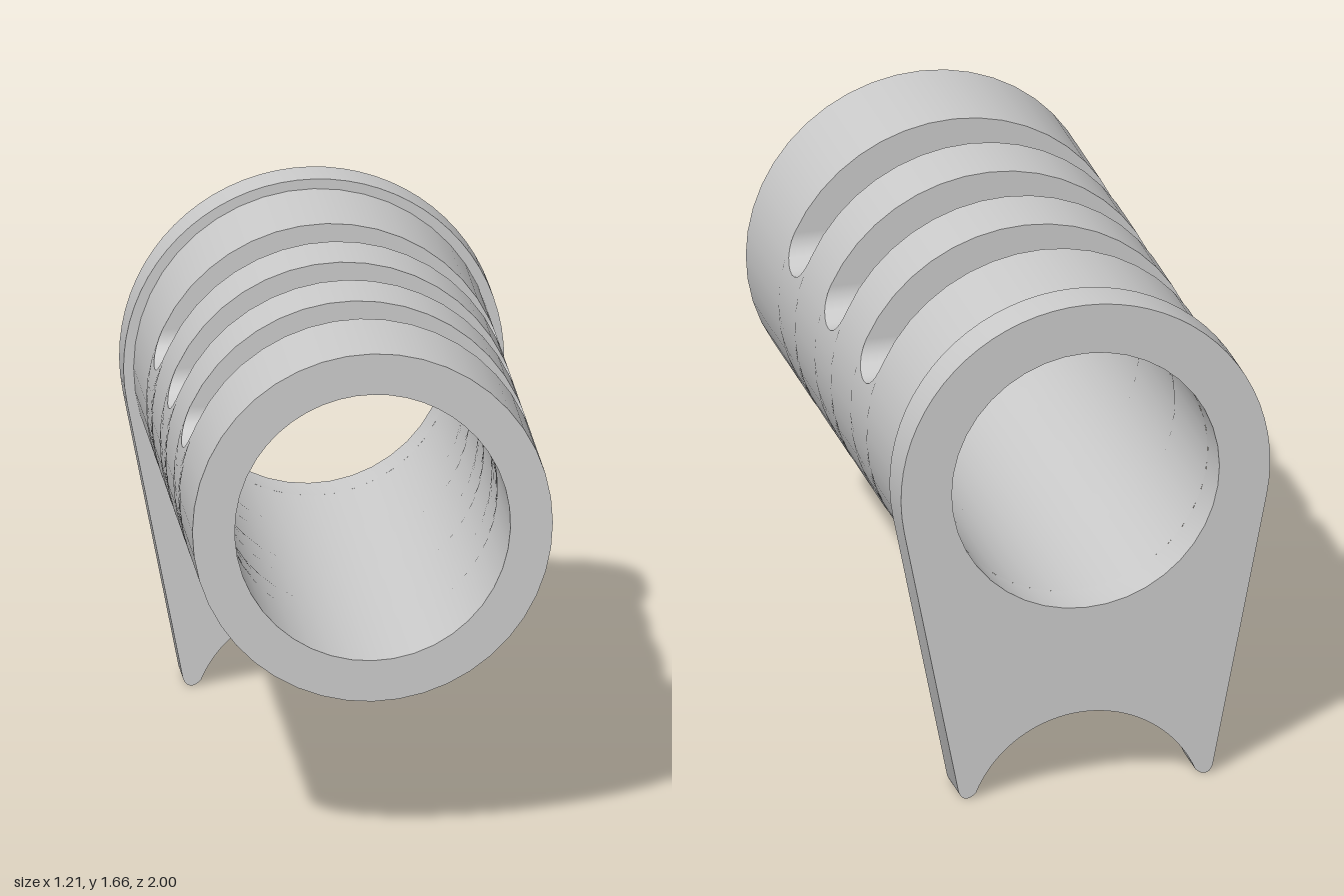
import * as THREE from 'three';
import { mergeGeometries, toCreasedNormals } from 'three/addons/utils/BufferGeometryUtils.js';

const CY = 1.06, RO = 0.575, RI = 0.44;      // tube axis height and radii
const SLOT_R = 0.1, SLOT_H = 0.24;           // slot half width, height of its rounding centre above the axis
const SLOTS = [0.503, 0.067, -0.367];        // slot centres, front to back
const FRONT = 1, PLATE_Z = -0.86, BACK = -1;

// Grid surface; f(u, v) gives [x, y, z, nx, ny, nz] and du x dv points outwards
function patch(nu, nv, f) {
  const pos = [], nor = [], idx = [];
  for (let j = 0; j <= nv; j++) for (let i = 0; i <= nu; i++) {
    const [x, y, z, ...n] = f(i / nu, j / nv);
    pos.push(x, y, z);
    nor.push(...n);
    if (i < nu && j < nv) {
      const a = j * (nu + 1) + i, d = a + nu + 1;
      idx.push(a, a + 1, d, a + 1, d + 1, d);
    }
  }
  const g = new THREE.BufferGeometry();
  g.setAttribute('position', new THREE.Float32BufferAttribute(pos, 3));
  g.setAttribute('normal', new THREE.Float32BufferAttribute(nor, 3));
  g.setIndex(idx);
  return g;
}

// Angle from the top (clockwise) along the arc above or below height h
function arcAngle(upper, r, h, u) {
  const cut = Math.acos(h / r);
  return upper ? cut * (2 * u - 1) : cut + u * 2 * (Math.PI - cut);
}
const segments = upper => (upper ? 16 : 28);

// Outer and inner skins along a path t -> [z, cut height], running front to back
function skins(upper, nv, path) {
  return [[RO, 1], [RI, -1]].map(([r, side]) => patch(segments(upper), nv, (u, v) => {
    const [z, h] = path(side > 0 ? v : 1 - v);
    const a = arcAngle(upper, r, h, u), s = Math.sin(a), c = Math.cos(a);
    return [r * s, r * c, z, side * s, side * c, 0];
  }));
}

// Flat ring sector across the wall, facing +z (dir 1) or -z (dir -1)
function wall(upper, z, dir) {
  return patch(segments(upper), 1, (u, v) => {
    const r = (dir > 0) === (v > 0.5) ? RO : RI;
    const a = arcAngle(upper, r, SLOT_H, u);
    return [r * Math.sin(a), r * Math.cos(a), z, 0, 0, dir];
  });
}

function tubeGeometry() {
  const parts = [wall(true, FRONT, 1), wall(false, FRONT, 1)];

  // Solid bands between the slots
  const edges = [FRONT, ...SLOTS.flatMap(z => [z + SLOT_R, z - SLOT_R]), PLATE_Z];
  for (let i = 0; i < edges.length; i += 2) {
    const path = t => [THREE.MathUtils.lerp(edges[i], edges[i + 1], t), SLOT_H];
    parts.push(...skins(true, 1, path), ...skins(false, 1, path));
    if (i > 0) parts.push(wall(true, edges[i], 1));
    if (i + 2 < edges.length) parts.push(wall(true, edges[i + 1], -1));
  }

  // Slotted stretches: lower shell and the rounded slot floors
  for (const zc of SLOTS) {
    const path = t => [zc + SLOT_R * Math.cos(Math.PI * t), SLOT_H - SLOT_R * Math.sin(Math.PI * t)];
    parts.push(...skins(false, 12, path));
    for (const side of [1, -1]) {
      parts.push(patch(1, 12, (u, v) => {
        const [z, h] = path(1 - v);
        const r = (side > 0) === (u > 0.5) ? RI : RO;
        return [side * Math.sqrt(r * r - h * h), h, z, 0, (SLOT_H - h) / SLOT_R, (zc - z) / SLOT_R];
      }));
    }
  }
  return mergeGeometries(parts).translate(0, CY, 0);
}

// End plate: round top, tapering sides, two feet around a concave arch
function plateGeometry() {
  const tilt = 0.192, archR = 0.39, archY = -0.13;
  const footX = 0.36, footY = 0.02;
  const start = Math.atan2(footY - archY, footX);
  const s = new THREE.Shape();
  s.absarc(0, CY, 0.607, -tilt, Math.PI + tilt, false);
  s.lineTo(-0.418, 0.03);
  s.bezierCurveTo(-0.41, 0.0, -0.385, -0.008, -footX, footY);
  s.absarc(0, archY, archR, Math.PI - start, start, true);
  s.bezierCurveTo(0.385, -0.008, 0.41, 0.0, 0.418, 0.03);
  s.closePath();
  const hole = new THREE.Path();
  hole.absarc(0, CY, RI, 0, Math.PI * 2, true);
  s.holes.push(hole);
  const g = new THREE.ExtrudeGeometry(s, { depth: PLATE_Z - BACK, bevelEnabled: false, curveSegments: 20 });
  return toCreasedNormals(g.translate(0, 0, BACK), 0.6);
}

export function createModel() {
  const group = new THREE.Group();
  const material = new THREE.MeshStandardMaterial({ color: 0xcccccc });
  const add = (name, geometry) => {
    const mesh = new THREE.Mesh(geometry, material);
    mesh.name = name;
    group.add(mesh);
  };
  add('slottedTube', tubeGeometry());
  add('endPlate', plateGeometry());
  return group;
}
